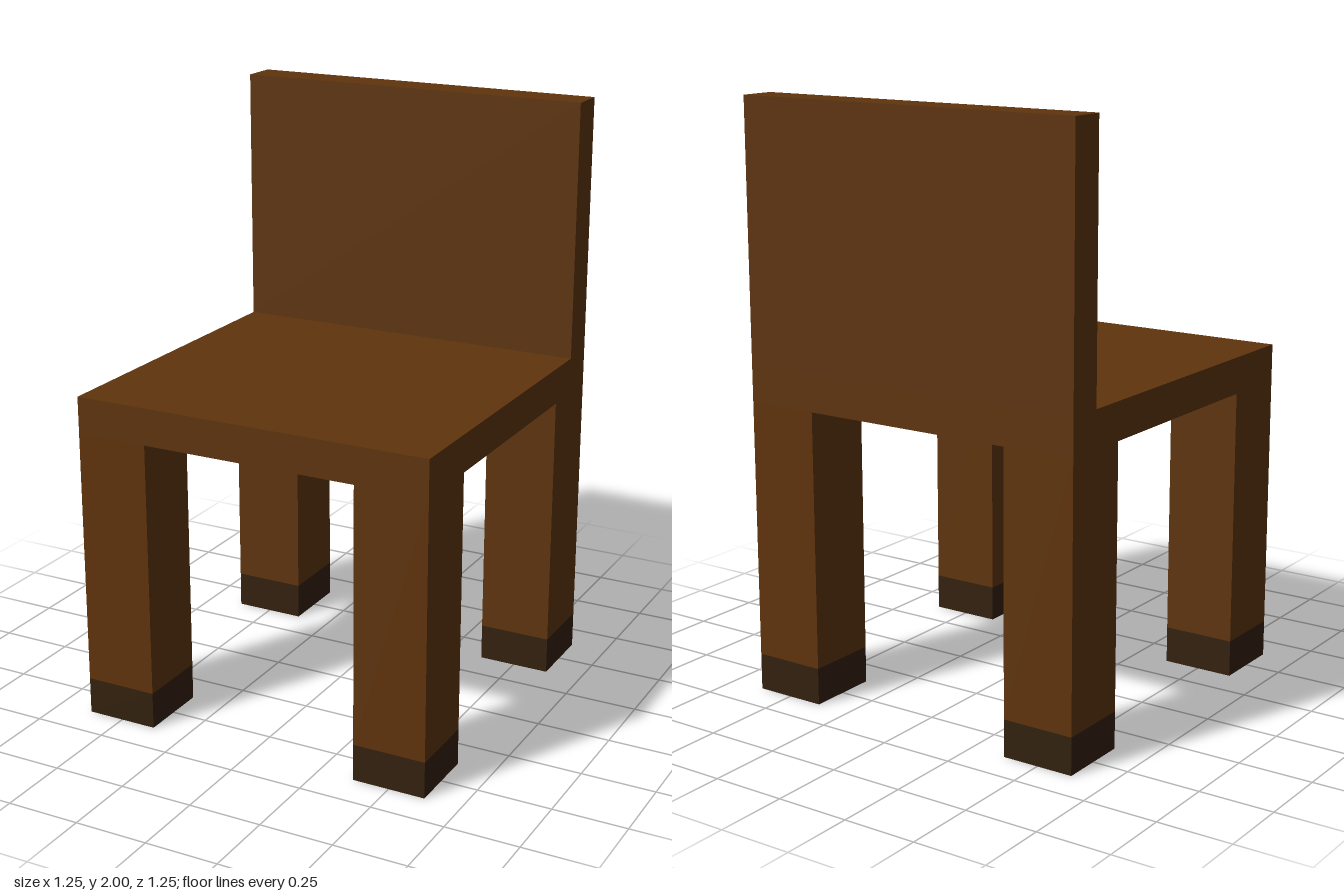
import * as THREE from 'three';

export function createModel() {
  const wood = new THREE.MeshStandardMaterial({ color: 0x5f340d });
  wood.name = 'brown wood';
  const dark = new THREE.MeshStandardMaterial({ color: 0x33210e });
  dark.name = 'dark foot';

  const chair = new THREE.Group();
  chair.name = 'chair';

  // Box standing on height y
  function box(name, material, [w, h, d], [x, y, z], parent = chair) {
    const mesh = new THREE.Mesh(new THREE.BoxGeometry(w, h, d), material);
    mesh.name = name;
    mesh.position.set(x, y + h / 2, z);
    parent.add(mesh);
  }

  // Seat slab and upright back board
  box('seat', wood, [1.25, 0.125, 1.25], [0, 1, 0]);
  box('backrest', wood, [1.25, 0.875, 0.125], [0, 1.125, -0.5625]);

  // Four square legs with dark feet
  for (const [end, z] of [['front', 0.5], ['back', -0.5]]) {
    for (const [side, x] of [['Left', 0.5], ['Right', -0.5]]) {
      const leg = new THREE.Group();
      leg.name = `${end}${side}Leg`;
      leg.position.set(x, 0, z);
      box('post', wood, [0.25, 0.875, 0.25], [0, 0.125, 0], leg);
      box('foot', dark, [0.25, 0.125, 0.25], [0, 0, 0], leg);
      chair.add(leg);
    }
  }

  return chair;
}
